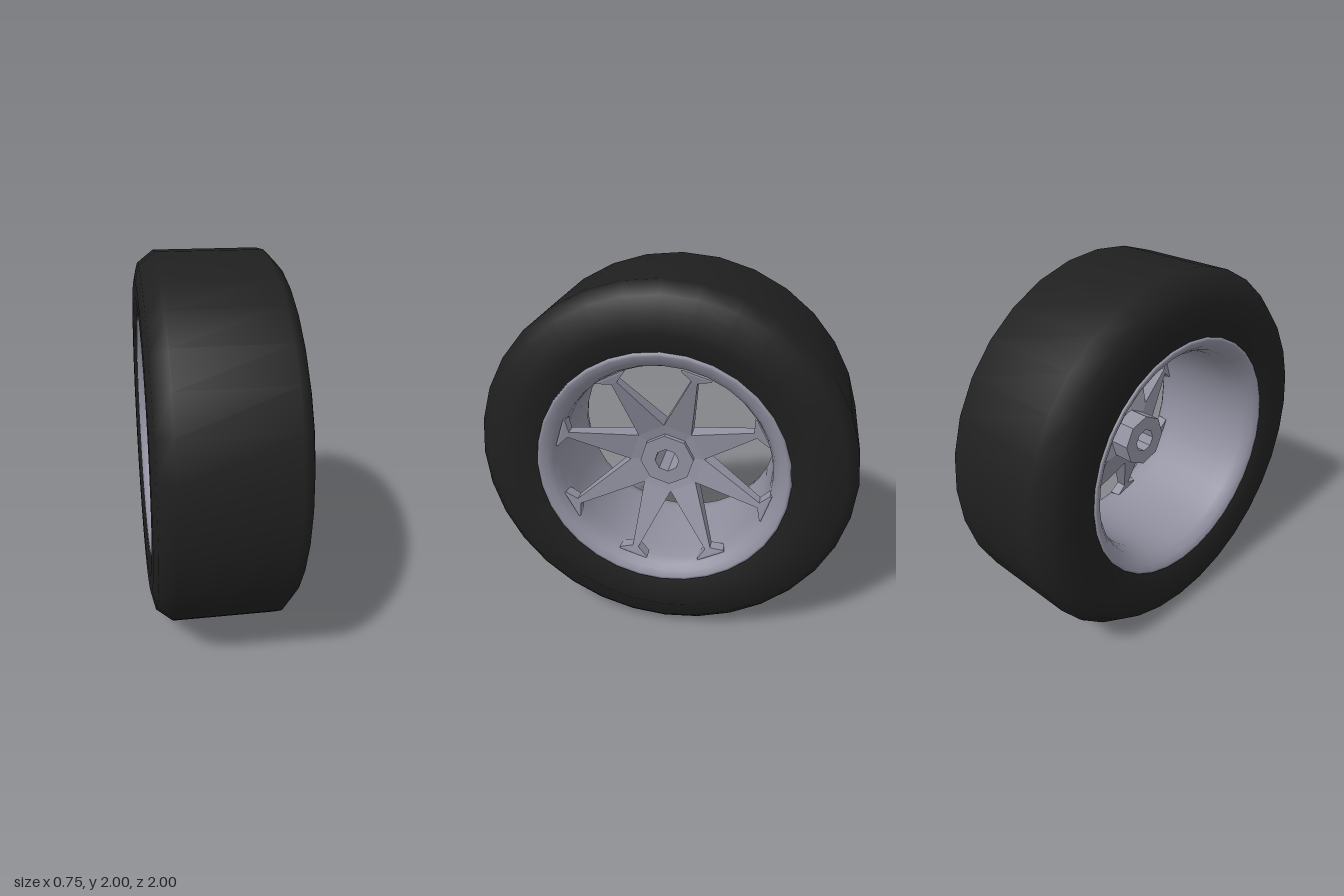
import * as THREE from 'three';

const RUBBER = new THREE.MeshStandardMaterial({ color: 0x1f1f1f, side: THREE.DoubleSide });
const METAL = new THREE.MeshStandardMaterial({ color: 0x9090a0, side: THREE.DoubleSide });
const METAL_FLAT = new THREE.MeshStandardMaterial({ color: 0x9090a0, flatShading: true });

// Revolve [x, radius] points around the wheel axle (the x axis)
function revolve(name, points, sides, material) {
  const profile = points.map(([x, r]) => new THREE.Vector2(r, x));
  const geometry = new THREE.LatheGeometry(profile, sides);
  geometry.rotateZ(-Math.PI / 2);
  const mesh = new THREE.Mesh(geometry, material);
  mesh.name = name;
  return mesh;
}

// Loft four-cornered sections [radius, halfWidth, front, back] along +y
function spokeGeometry(sections) {
  const positions = [];
  const index = [];
  sections.forEach(([r, w, front, back]) => {
    positions.push(front, r, w, front, r, -w, back, r, -w, back, r, w);
  });
  for (let i = 0; i < sections.length - 1; i++) {
    for (let k = 0; k < 4; k++) {
      const a = i * 4 + k;
      const b = i * 4 + (k + 1) % 4;
      index.push(a, b, b + 4, a, b + 4, a + 4);
    }
  }
  const geometry = new THREE.BufferGeometry();
  geometry.setAttribute('position', new THREE.Float32BufferAttribute(positions, 3));
  geometry.setIndex(index);
  geometry.computeVertexNormals();
  return geometry;
}

export function createModel() {
  const model = new THREE.Group();
  model.name = 'wheel';
  const wheel = new THREE.Group();
  wheel.name = 'wheelAssembly';
  wheel.position.y = 1;
  model.add(wheel);

  // Tyre, with a small step on the outer shoulder
  wheel.add(revolve('tyre', [
    [-0.34, 0.64], [-0.365, 0.69], [-0.375, 0.76], [-0.375, 0.85], [-0.355, 0.935], [-0.27, 1],
    [0.28, 1], [0.34, 0.94], [0.345, 0.87], [0.37, 0.84], [0.37, 0.76], [0.36, 0.69], [0.34, 0.64],
  ], 32, RUBBER));

  // Rim: lip, dished shoulder and deep barrel, open at the back
  wheel.add(revolve('rim', [
    [0.34, 0.67], [0.365, 0.665], [0.367, 0.65], [0.35, 0.615], [0.325, 0.59], [0.28, 0.572],
    [0.2, 0.565], [-0.22, 0.565], [-0.3, 0.585], [-0.345, 0.62], [-0.36, 0.65], [-0.36, 0.665], [-0.33, 0.67],
  ], 32, METAL));

  // Eight tapered spokes, leaning outward and flaring where they meet the rim
  const spoke = spokeGeometry([
    [0.1, 0.041, 0.165, 0.04],
    [0.185, 0.077, 0.185, 0.08],
    [0.53, 0.016, 0.305, 0.245],
    [0.565, 0.08, 0.315, 0.25],
    [0.575, 0.08, 0.315, 0.25],
  ]);
  const firstAngle = THREE.MathUtils.degToRad(17.5);
  for (let i = 0; i < 8; i++) {
    const mesh = new THREE.Mesh(spoke, METAL_FLAT);
    mesh.name = 'spoke' + (i + 1);
    mesh.rotation.x = -firstAngle - i * Math.PI / 4;
    wheel.add(mesh);
  }

  // Octagonal hub with a through hole
  const hub = revolve('hub', [
    [0.2, 0.065], [-0.06, 0.065], [-0.06, 0.145], [0.2, 0.145], [0.2, 0.065],
  ], 8, METAL_FLAT);
  hub.rotation.x = -firstAngle - Math.PI / 8;
  wheel.add(hub);

  return model;
}
